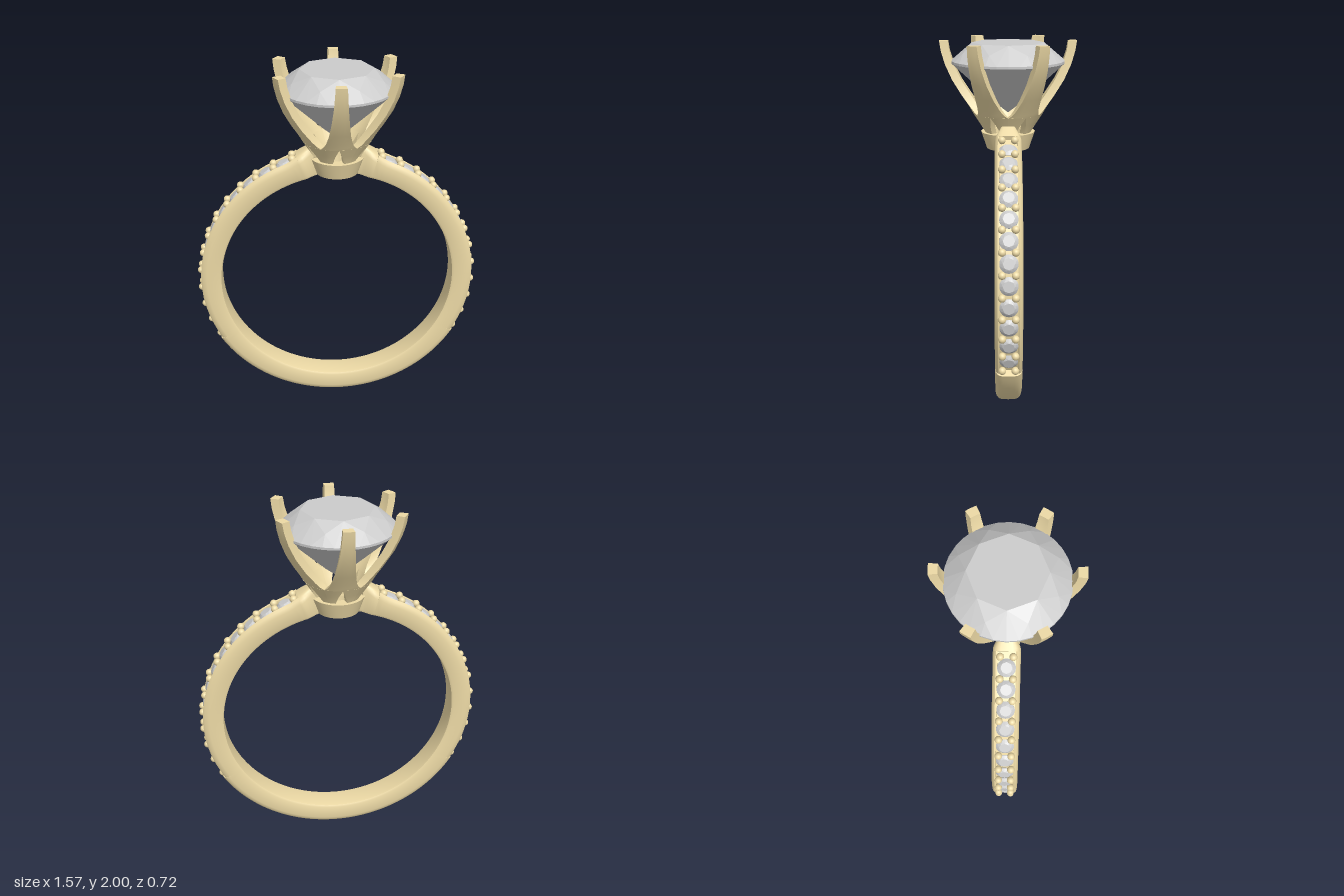
import * as THREE from 'three';
import { toCreasedNormals } from 'three/addons/utils/BufferGeometryUtils.js';
import { ConvexGeometry } from 'three/addons/geometries/ConvexGeometry.js';

const CENTRE = 0.782; // height of the finger hole's centre
const INNER = 0.65;
const PAVE_START = 16, PAVE_END = 119; // degrees from the top
const rad = THREE.MathUtils.degToRad;

const gold = new THREE.MeshStandardMaterial({ color: 0xecd9a5 });
const stone = new THREE.MeshStandardMaterial({ color: 0xcccccc });

function addMesh(parent, name, geometry, material) {
  const mesh = new THREE.Mesh(geometry, material);
  mesh.name = name;
  parent.add(mesh);
  return mesh;
}

// Skin a list of closed cross-sections (counter-clockwise about the path) and cap both ends
function loft(rings, crease = 0.6) {
  const n = rings[0].length, pos = [], idx = [];
  rings.forEach(r => r.forEach(p => pos.push(p.x, p.y, p.z)));
  for (let i = 0; i < rings.length - 1; i++) {
    for (let j = 0; j < n; j++) {
      const k = (j + 1) % n;
      const a = i * n + j, b = i * n + k, c = b + n, d = a + n;
      idx.push(a, b, c, a, c, d);
    }
  }
  [0, rings.length - 1].forEach((i, end) => {
    const mid = rings[i].reduce((s, p) => s.add(p), new THREE.Vector3()).divideScalar(n);
    const m = pos.length / 3;
    pos.push(mid.x, mid.y, mid.z);
    for (let j = 0; j < n; j++) {
      const a = i * n + j, b = i * n + (j + 1) % n;
      if (end) idx.push(m, a, b); else idx.push(m, b, a);
    }
  });
  const g = new THREE.BufferGeometry();
  g.setAttribute('position', new THREE.Float32BufferAttribute(pos, 3));
  g.setIndex(idx);
  return toCreasedNormals(g, crease);
}

// Band cross-section at an angle from the top; the pave stretch has a channel between two rails
function bandSection(deg, pave) {
  const d = Math.min(deg, 360 - deg);
  const flare = d < 22 ? 0.048 * Math.pow((22 - d) / 12, 1.5) : 0;
  const R = (d >= PAVE_END && !pave ? 0.782 : 0.768) + flare;
  const w = 0.07 - 0.026 * THREE.MathUtils.clamp((14.5 - d) / 4, 0, 1);
  const outer = pave
    ? [[0, R - 0.024], [0.046, R - 0.024], [0.046, R - 0.006], [0.054, R - 0.002], [0.065, R - 0.013], [0.07, R - 0.035]]
    : [[0, R], [0.03, R - 0.001], [0.045, R - 0.004], [0.055, R - 0.01], [0.065, R - 0.022], [0.07, R - 0.04]];
  const half = [...outer, [0.07, INNER + 0.014], [0.064, INNER + 0.003], [0.05, INNER], [0, INNER]];
  const back = half.slice(1, -1).reverse().map(([z, r]) => [-z, r]);
  const a = rad(deg), s = w / 0.07;
  return [...half, ...back].map(([z, r]) =>
    new THREE.Vector3(r * Math.sin(a), CENTRE + r * Math.cos(a), z * s));
}

function bandGeometry() {
  const rings = [], first = 9.5;
  const run = (from, to, steps, pave) => {
    for (let i = 0; i <= steps; i++) rings.push(bandSection(from + (to - from) * i / steps, pave));
  };
  run(first, PAVE_START, 6, false);
  run(PAVE_START, PAVE_END, 44, true);
  run(PAVE_END, 360 - PAVE_END, 52, false);
  run(360 - PAVE_END, 360 - PAVE_START, 44, true);
  run(360 - PAVE_START, 360 - first, 6, false);
  return loft(rings);
}

// Round brilliant cut, table at y = 0, girdle radius 0.3
function gemGeometry() {
  const pts = [new THREE.Vector3(0, -0.37, 0)];
  const circle = (count, r, y, offset = 0) => {
    for (let i = 0; i < count; i++) {
      const a = (i + offset) / count * Math.PI * 2;
      pts.push(new THREE.Vector3(r * Math.sin(a), y, r * Math.cos(a)));
    }
  };
  circle(8, 0.19, 0);
  circle(8, 0.25, -0.045, 0.5);
  circle(32, 0.3, -0.092);
  circle(32, 0.3, -0.104);
  circle(8, 0.07, -0.316, 0.5);
  return new ConvexGeometry(pts);
}

// Slice of the conical basket between two angles
function basketRing(y, rIn, rOut, lo, hi) {
  const ring = [], n = 4;
  const at = (r, t) => {
    const a = lo + (hi - lo) * t;
    ring.push(new THREE.Vector3(r * Math.sin(a), y, r * Math.cos(a)));
  };
  for (let i = 0; i <= n; i++) at(rOut, i / n);
  for (let i = n; i >= 0; i--) at(rIn, i / n);
  return ring;
}

export function createModel() {
  const model = new THREE.Group();
  model.name = 'ring';
  addMesh(model, 'band', bandGeometry(), gold);

  // Collet under the basket
  const collet = [[0.07, 1.43], [0.115, 1.43], [0.145, 1.52], [0.085, 1.52], [0.07, 1.43]]
    .map(p => new THREE.Vector2(...p));
  addMesh(model, 'collet', toCreasedNormals(new THREE.LatheGeometry(collet, 48), 0.6), gold);

  // Six prongs, each splitting into two legs: y, inner radius, outer radius, angles
  const V = Math.PI / 6;
  const legRows = [
    [1.47, 0.075, 0.105, 0.3], [1.52, 0.09, 0.125, 0.24],
    [1.57, 0.115, 0.155, 0.12], [1.62, 0.14, 0.187, 0],
  ];
  const prongRows = [
    [1.62, 0.14, 0.187, V], [1.635, 0.148, 0.196, 0.42], [1.66, 0.162, 0.21, 0.33],
    [1.72, 0.2, 0.25, 0.22], [1.8, 0.25, 0.298, 0.15], [1.88, 0.287, 0.333, 0.11],
    [1.95, 0.308, 0.353, 0.09], [2, 0.315, 0.36, 0.08],
  ];
  const prongGeo = loft(prongRows.map(([y, i, o, a]) => basketRing(y, i, o, -a, a)));
  const leftLeg = loft(legRows.map(([y, i, o, a]) => basketRing(y, i, o, a, V)));
  const rightLeg = loft(legRows.map(([y, i, o, a]) => basketRing(y, i, o, -V, -a)));
  for (let i = 0; i < 6; i++) {
    const prong = new THREE.Group();
    prong.name = 'prong';
    prong.rotation.y = i * Math.PI / 3;
    addMesh(prong, 'prongClaw', prongGeo, gold);
    addMesh(prong, 'prongLeftLeg', leftLeg, gold);
    addMesh(prong, 'prongRightLeg', rightLeg, gold);
    model.add(prong);
  }

  // Centre stone
  const gem = gemGeometry();
  addMesh(model, 'centreStone', gem, stone).position.y = 1.99;

  // Pave stones with pairs of beads between them, on both shoulders
  const beadGeo = new THREE.SphereGeometry(0.02, 14, 10);
  const beads = 13, pitch = 8.25, start = 18;
  for (const side of [1, -1]) {
    const pave = new THREE.Group();
    pave.name = side > 0 ? 'leftPave' : 'rightPave';
    const place = (mesh, deg, r, z) => {
      const a = side * rad(deg);
      mesh.position.set(r * Math.sin(a), CENTRE + r * Math.cos(a), z);
      mesh.rotation.z = -a;
    };
    for (let i = 0; i < beads; i++) {
      const deg = start + i * pitch;
      const lift = i === 0 ? 0.008 : 0;
      for (const z of [-0.033, 0.033]) place(addMesh(pave, 'bead', beadGeo, gold), deg, 0.766 + lift, z);
      if (i === beads - 1) break;
      const small = addMesh(pave, 'paveStone', gem, stone);
      small.scale.setScalar(0.155);
      place(small, deg + pitch / 2, 0.766, 0);
    }
    model.add(pave);
  }
  return model;
}
